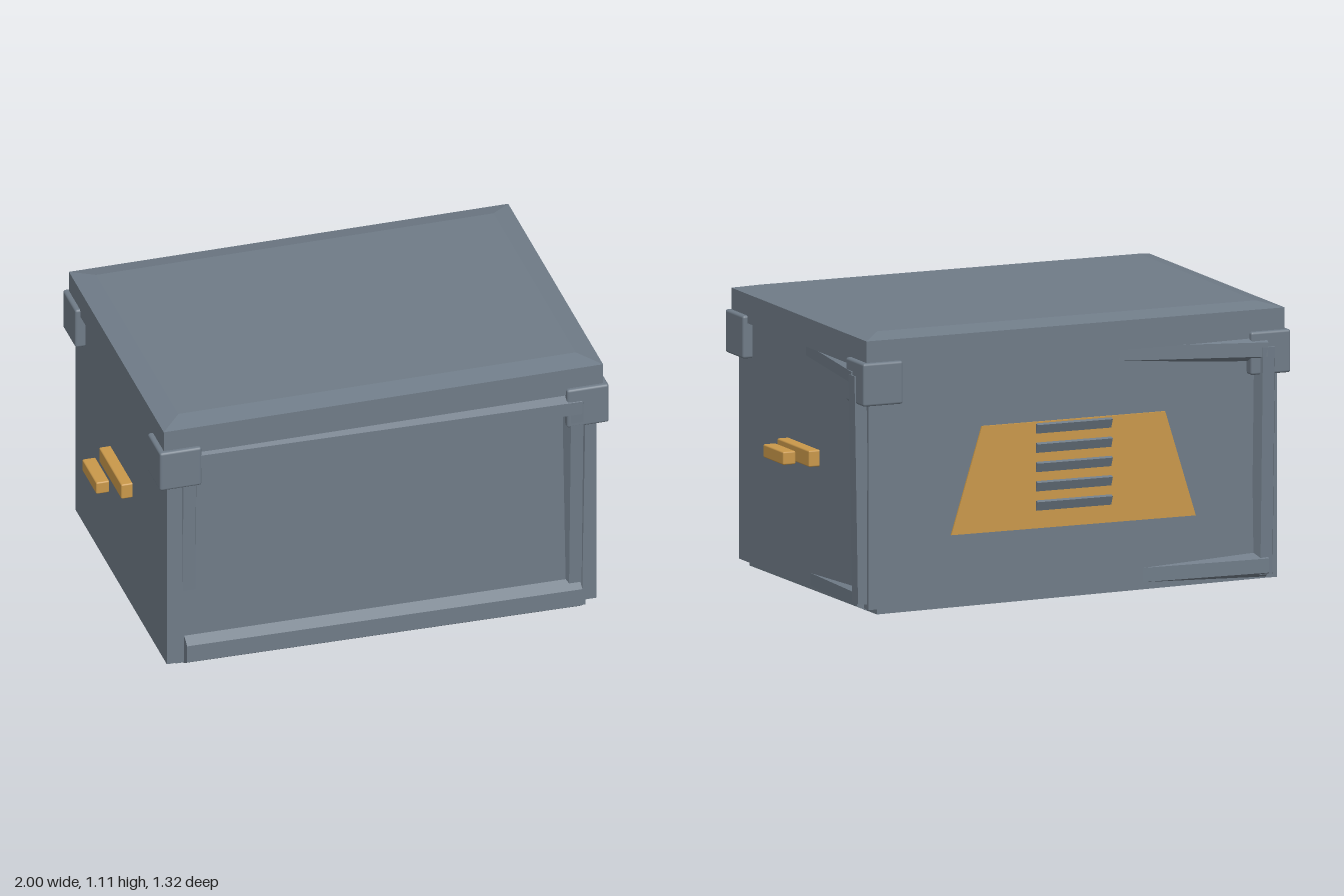
import * as THREE from 'three';
import { RoundedBoxGeometry } from 'three/addons/geometries/RoundedBoxGeometry.js';

const steel = new THREE.MeshStandardMaterial({ color: 0x6f7b87, name: 'steelGrey' });
const gold = new THREE.MeshStandardMaterial({ color: 0xc9984a, name: 'ochre' });

export function createModel() {
  const model = new THREE.Group();
  model.name = 'storageCrate';

  const add = (name, geometry, material, x = 0, y = 0, z = 0) => {
    const mesh = new THREE.Mesh(geometry, material);
    mesh.name = name;
    mesh.position.set(x, y, z);
    model.add(mesh);
    return mesh;
  };
  const polygon = (points) => new THREE.Shape(points.map((p) => new THREE.Vector2(...p)));

  // Body and slightly skewed base plate
  add('body', new THREE.BoxGeometry(1.74, 0.96, 1.22), steel, 0, 0.51, 0);
  const base = add('basePlate', new THREE.BoxGeometry(1.66, 0.06, 1.2), steel, 0, 0.0445, 0);
  base.rotation.set(0.006, 0, -0.012);

  // Lid: a slab whose top edge slopes in to a flat centre
  add('lid', new THREE.BoxGeometry(1.78, 0.115, 1.27), steel, 0, 1.0375, 0);
  const lidTop = new THREE.BoxGeometry(1.78, 0.02, 1.27);
  const pos = lidTop.attributes.position;
  for (let i = 0; i < pos.count; i++) {
    if (pos.getY(i) > 0) {
      pos.setX(i, Math.sign(pos.getX(i)) * 0.805);
      pos.setZ(i, Math.sign(pos.getZ(i)) * 0.55);
    }
  }
  const lidTopFlat = lidTop.toNonIndexed();
  lidTopFlat.computeVertexNormals();
  add('lidTop', lidTopFlat, steel, 0, 1.105, 0);

  // Bevelled frame bar from a to b, standing out of a wall by depth d
  const bar = (name, a, b, out, w, d) => {
    const start = new THREE.Vector3(...a);
    const along = new THREE.Vector3(...b).sub(start);
    const length = along.length();
    along.normalize();
    const across = new THREE.Vector3(...out).cross(along).normalize();
    const up = along.clone().cross(across);
    const section = polygon([[-w / 2, 0], [w / 2, 0], [w * 0.28, d], [-w * 0.28, d]]);
    const geometry = new THREE.ExtrudeGeometry(section, { depth: length, bevelEnabled: false });
    geometry.applyMatrix4(new THREE.Matrix4().makeBasis(across, up, along).setPosition(start));
    add(name, geometry, steel);
  };
  const front = [0, 0, 1], back = [0, 0, -1], side = [1, 0, 0];
  bar('frontBottomBar', [-0.8, 0.085, 0.605], [0.8, 0.07, 0.61], front, 0.13, 0.045);
  bar('frontTopBar', [-0.76, 0.945, 0.61], [0.8, 0.925, 0.615], front, 0.1, 0.04);
  bar('frontLeftPost', [0.78, 0.05, 0.585], [0.78, 0.95, 0.615], front, 0.09, 0.04);
  bar('frontRightPost', [-0.78, 0.05, 0.57], [-0.78, 0.95, 0.585], front, 0.09, 0.035);
  bar('backRightPost', [-0.81, 0.05, -0.6], [-0.81, 0.95, -0.625], back, 0.09, 0.04);
  bar('backTopBar', [-0.81, 0.94, -0.625], [-0.2, 0.96, -0.57], back, 0.1, 0.04);
  bar('backBottomBar', [-0.82, 0.085, -0.61], [-0.3, 0.08, -0.57], back, 0.1, 0.04);
  bar('leftBackPost', [0.86, 0.05, -0.55], [0.875, 0.95, -0.55], side, 0.1, 0.04);
  bar('leftTopBar', [0.875, 0.94, -0.55], [0.828, 0.96, 0], side, 0.08, 0.04);
  bar('leftBottomBar', [0.86, 0.065, -0.57], [0.828, 0.06, -0.03], side, 0.09, 0.04);

  // Corner brackets and side handles
  for (const s of [-1, 1]) {
    for (const t of [-1, 1]) {
      add('cornerBracket', new RoundedBoxGeometry(0.17, 0.17, 0.17, 2, 0.01), steel, s * 0.825, 0.925, t * 0.567);
    }
    add('handleMount', new RoundedBoxGeometry(0.05, 0.065, 0.3, 2, 0.006), gold, s * 0.89, 0.552, 0);
    add('handleGrip', new RoundedBoxGeometry(0.054, 0.052, 0.19, 2, 0.006), gold, s * 0.973, 0.551, 0);
  }

  // Back vent: tapered plate with tilted slats
  const plate = polygon([[-0.52, 0.3], [0.52, 0.3], [0.39, 0.72], [-0.39, 0.72]]);
  add('ventPlate', new THREE.ExtrudeGeometry(plate, { depth: 0.009, bevelEnabled: false }), gold, 0, 0, -0.618);
  for (let i = 0; i < 5; i++) {
    const slat = add('ventSlat', new THREE.BoxGeometry(0.32, 0.05, 0.014), steel, 0, 0.385 + i * 0.076, -0.617);
    slat.rotation.x = -0.4;
  }

  return model;
}
